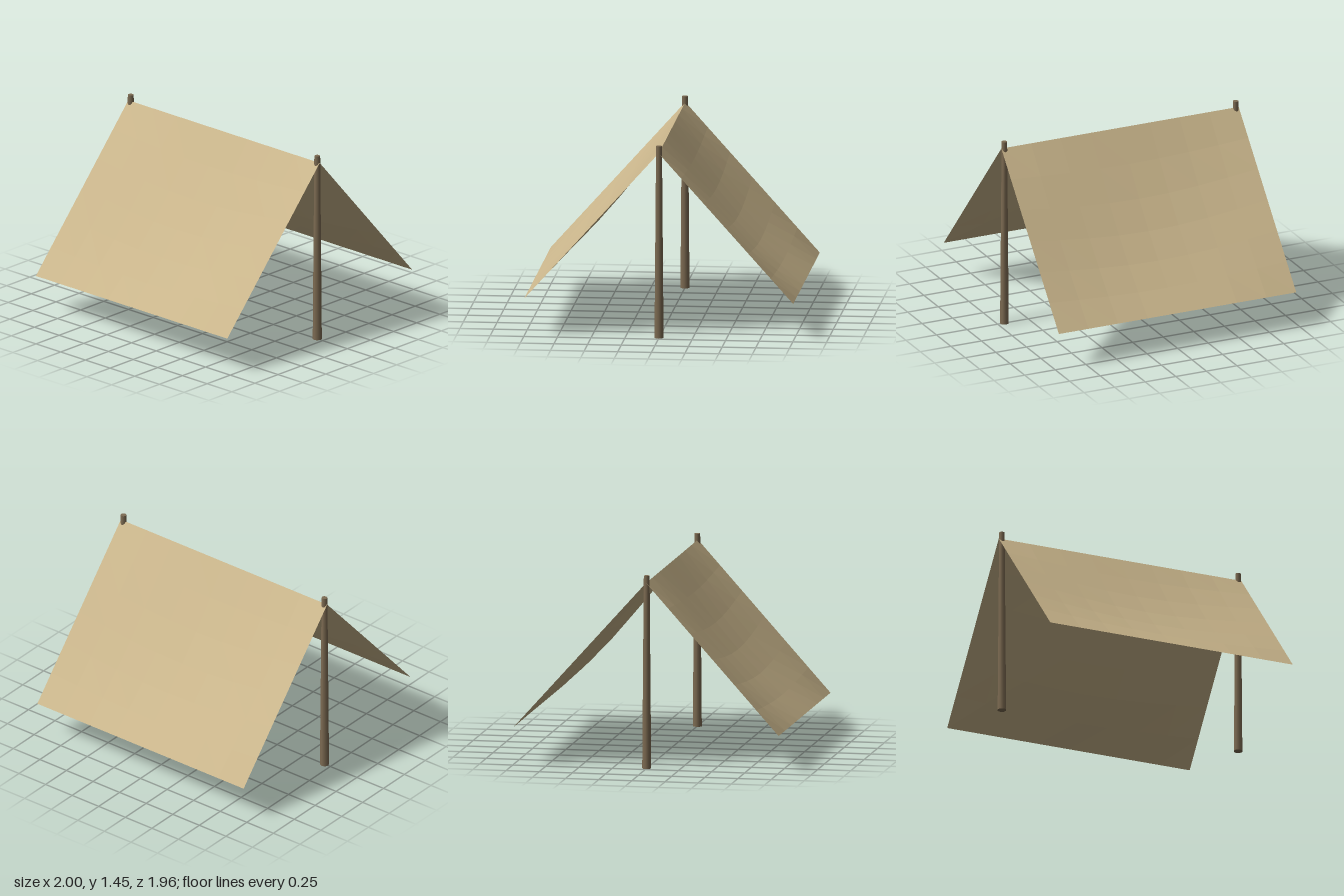
import * as THREE from 'three';

const RIDGE_Y = 1.395, EAVE_Y = 0.28, HALF_LENGTH = 0.97, SAG = 0.085;

// One sloping sheet, straight on all four edges and sagging in the middle
function canvasPanel(side, material) {
  const geometry = new THREE.PlaneGeometry(1, 1, 6, 8);
  const pos = geometry.attributes.position;
  for (let i = 0; i < pos.count; i++) {
    const u = side > 0 ? pos.getX(i) + 0.5 : 0.5 - pos.getX(i); // 0 at ridge, 1 at eave
    const v = 0.5 - pos.getY(i);
    const sag = SAG * Math.sin(Math.PI * u) * Math.sin(Math.PI * v);
    pos.setXYZ(i, side * u, RIDGE_Y + (EAVE_Y - RIDGE_Y) * u - sag, (v * 2 - 1) * HALF_LENGTH);
  }
  geometry.computeVertexNormals();
  const mesh = new THREE.Mesh(geometry, material);
  mesh.name = side > 0 ? 'leftCanvas' : 'rightCanvas';
  return mesh;
}

// Tapered upright standing on the ground
function pole(end, material) {
  const height = 1.446;
  const mesh = new THREE.Mesh(new THREE.CylinderGeometry(0.022, 0.034, height, 8), material);
  mesh.position.set(0, height / 2, end * 0.945);
  mesh.name = end > 0 ? 'frontPole' : 'backPole';
  return mesh;
}

export function createModel() {
  const canvas = new THREE.MeshStandardMaterial({ color: 0xc9b58b, flatShading: true, side: THREE.DoubleSide });
  const wood = new THREE.MeshStandardMaterial({ color: 0x7d6b52 });
  const group = new THREE.Group();
  group.name = 'canvasShelter';
  for (const s of [1, -1]) group.add(canvasPanel(s, canvas), pole(s, wood));
  return group;
}
